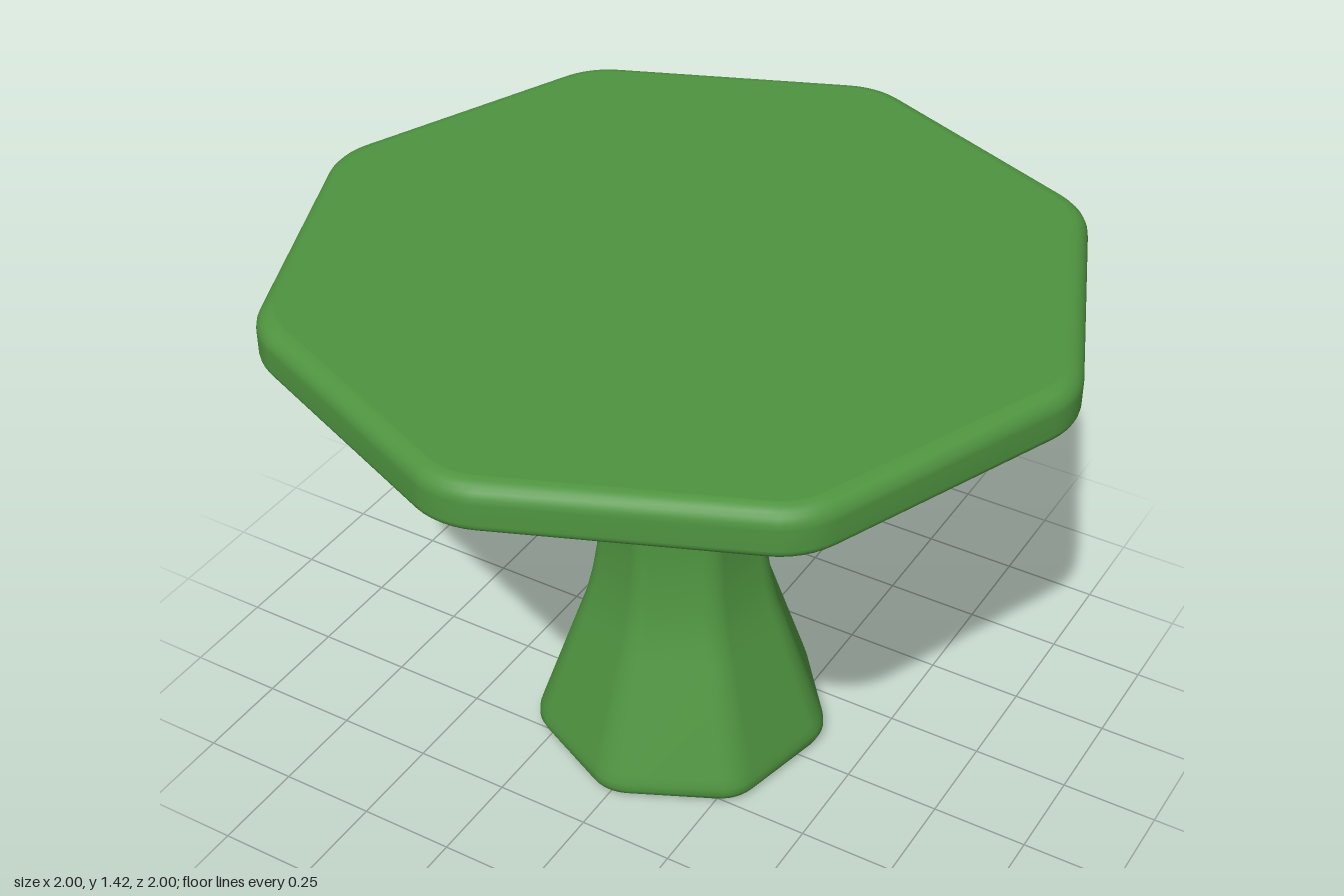
import * as THREE from 'three';

const ARC = 6; // segments in each rounded corner

// Rounded regular polygon in the xz plane: one corner points to +z.
function ring(sides, extent, radius, y) {
  const points = [];
  const step = (Math.PI * 2) / sides;
  for (let i = 0; i < sides; i++) {
    const a = i * step;
    for (let k = 0; k <= ARC; k++) {
      const b = a + (k / ARC - 0.5) * step;
      points.push([
        Math.sin(a) * (extent - radius) + Math.sin(b) * radius,
        y,
        Math.cos(a) * (extent - radius) + Math.cos(b) * radius,
      ]);
    }
  }
  return points;
}

// Smooth wall through the rings (bottom to top) with flat caps at both ends.
function loft(rings) {
  const n = rings[0].length;
  const top = rings.length - 1;
  const vertices = rings.flat();
  const index = [];
  for (let i = 0; i < top; i++) {
    for (let j = 0; j < n; j++) {
      const a = i * n + j, b = i * n + ((j + 1) % n);
      index.push(a, b, b + n, a, b + n, a + n);
    }
  }
  for (const [r, up] of [[rings[0], false], [rings[top], true]]) {
    const start = vertices.length;
    vertices.push(...r, [0, r[0][1], 0]);
    for (let j = 0; j < n; j++) {
      const a = start + j, b = start + ((j + 1) % n);
      index.push(start + n, up ? a : b, up ? b : a);
    }
  }
  const geometry = new THREE.BufferGeometry();
  geometry.setAttribute('position', new THREE.Float32BufferAttribute(vertices.flat(), 3));
  geometry.setIndex(index);
  geometry.computeVertexNormals();
  return geometry;
}

export function createModel() {
  const group = new THREE.Group();
  const green = new THREE.MeshStandardMaterial({ color: 0x4f9440 });
  green.name = 'leaf green';

  // Octagonal top with rounded rims: small fillet below, larger above
  const topRings = [];
  const low = 1.295, high = 1.418, corner = 0.2;
  const fillet = (size, y, from, to) => {
    for (let k = 0; k <= 5; k++) {
      const t = from + ((to - from) * k) / 5;
      const inset = size * (1 - Math.cos(t));
      topRings.push(ring(8, 1 - inset, corner - inset, y + size * Math.sin(t)));
    }
  };
  fillet(0.025, low + 0.025, -Math.PI / 2, 0);
  fillet(0.045, high - 0.045, 0, Math.PI / 2);
  const tableTop = new THREE.Mesh(loft(topRings), green);
  tableTop.name = 'tableTop';
  group.add(tableTop);

  // Seven-sided pedestal, waisted, flaring under the top: [extent, y]
  const profile = [
    [0.348, 0], [0.364, 0.004], [0.377, 0.015], [0.384, 0.03], [0.383, 0.05],
    [0.375, 0.075], [0.272, 0.37], [0.251, 0.43], [0.234, 0.5], [0.221, 0.58],
    [0.214, 0.67], [0.215, 0.75], [0.222, 0.83], [0.236, 0.91], [0.256, 0.98],
    [0.283, 1.04], [0.314, 1.09], [0.5, 1.3],
  ];
  const pedestal = new THREE.Mesh(loft(profile.map(([e, y]) => ring(7, e, e * 0.3, y))), green);
  pedestal.name = 'pedestal';
  group.add(pedestal);

  return group;
}
